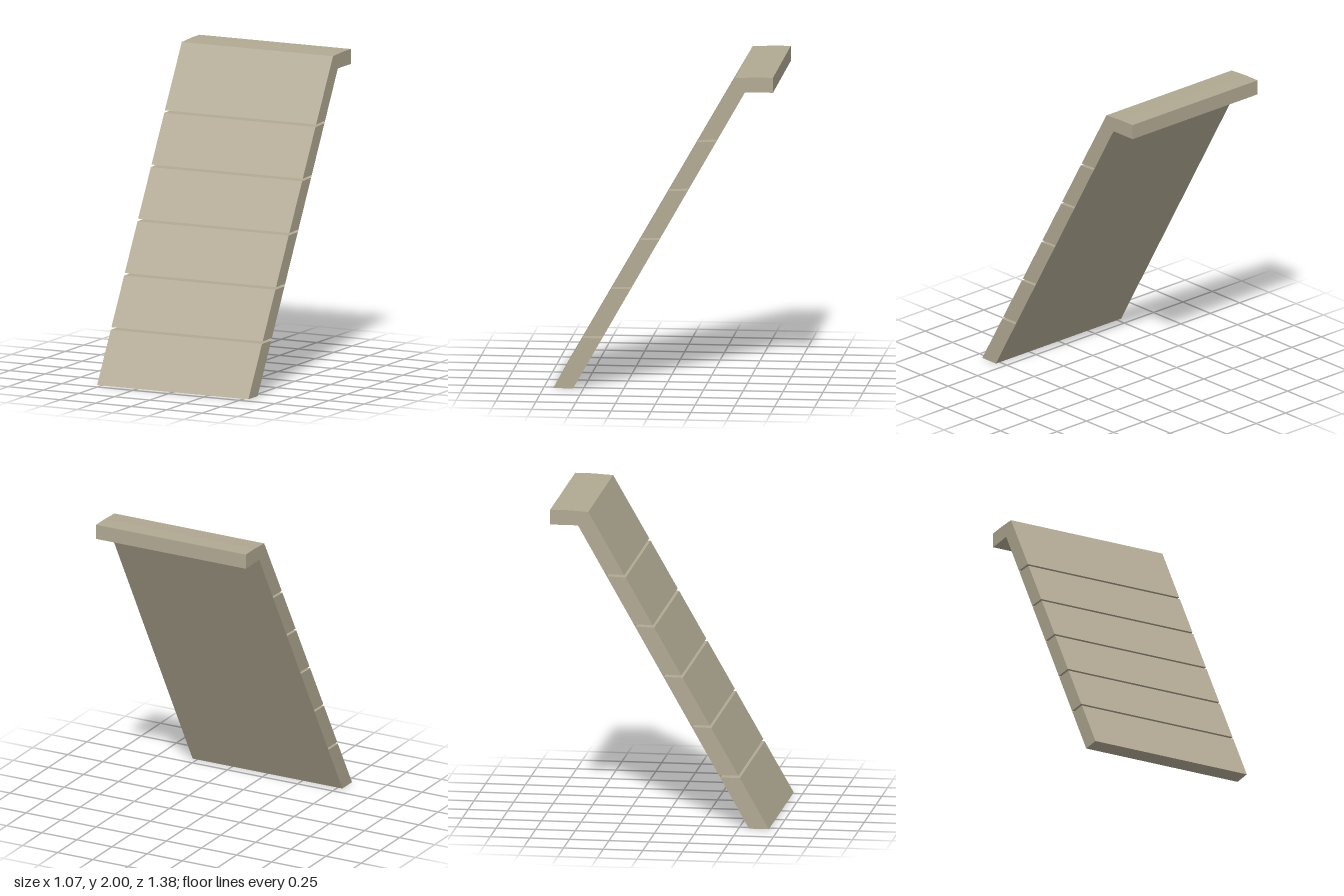
import * as THREE from 'three';

const HALF_WIDTH = 0.533;
const SLOPE = -0.5715; // change of z per unit of height
const frontZ = (y) => 0.69 + SLOPE * y;
const backZ = (y) => 0.565 + (-1.08 / 1.905) * y;

export function createModel() {
  const group = new THREE.Group();
  group.name = 'slopedPanel';
  const material = new THREE.MeshStandardMaterial({ color: 0xb0a892, flatShading: true });

  // Side profile (z, y): leaning face with grooves, flat lip at the top
  const points = [[backZ(0), 0], [frontZ(0), 0]];

  // Five grooves, cut almost through to the thin backing
  const skin = 0.003;
  for (let i = 0; i < 5; i++) {
    const low = 0.321 + i * 0.315;
    const high = low + 0.015;
    const tilt = 0.001 + i * 0.001;
    points.push(
      [frontZ(low), low],
      [backZ(low + tilt) + skin, low + tilt],
      [backZ(high + tilt) + skin, high + tilt],
      [frontZ(high), high],
    );
  }

  // Lip with a slightly bevelled top, then the inner corner
  points.push([-0.45, 1.993], [-0.58, 2], [-0.69, 2], [-0.69, 1.905], [-0.515, 1.905]);

  const shape = new THREE.Shape(points.map(([z, y]) => new THREE.Vector2(z, y)));
  const geometry = new THREE.ExtrudeGeometry(shape, { depth: HALF_WIDTH * 2, bevelEnabled: false });
  geometry.rotateY(-Math.PI / 2);
  geometry.translate(HALF_WIDTH, 0, 0);

  const panel = new THREE.Mesh(geometry, material);
  panel.name = 'groovedPanelWithLip';
  group.add(panel);
  return group;
}
